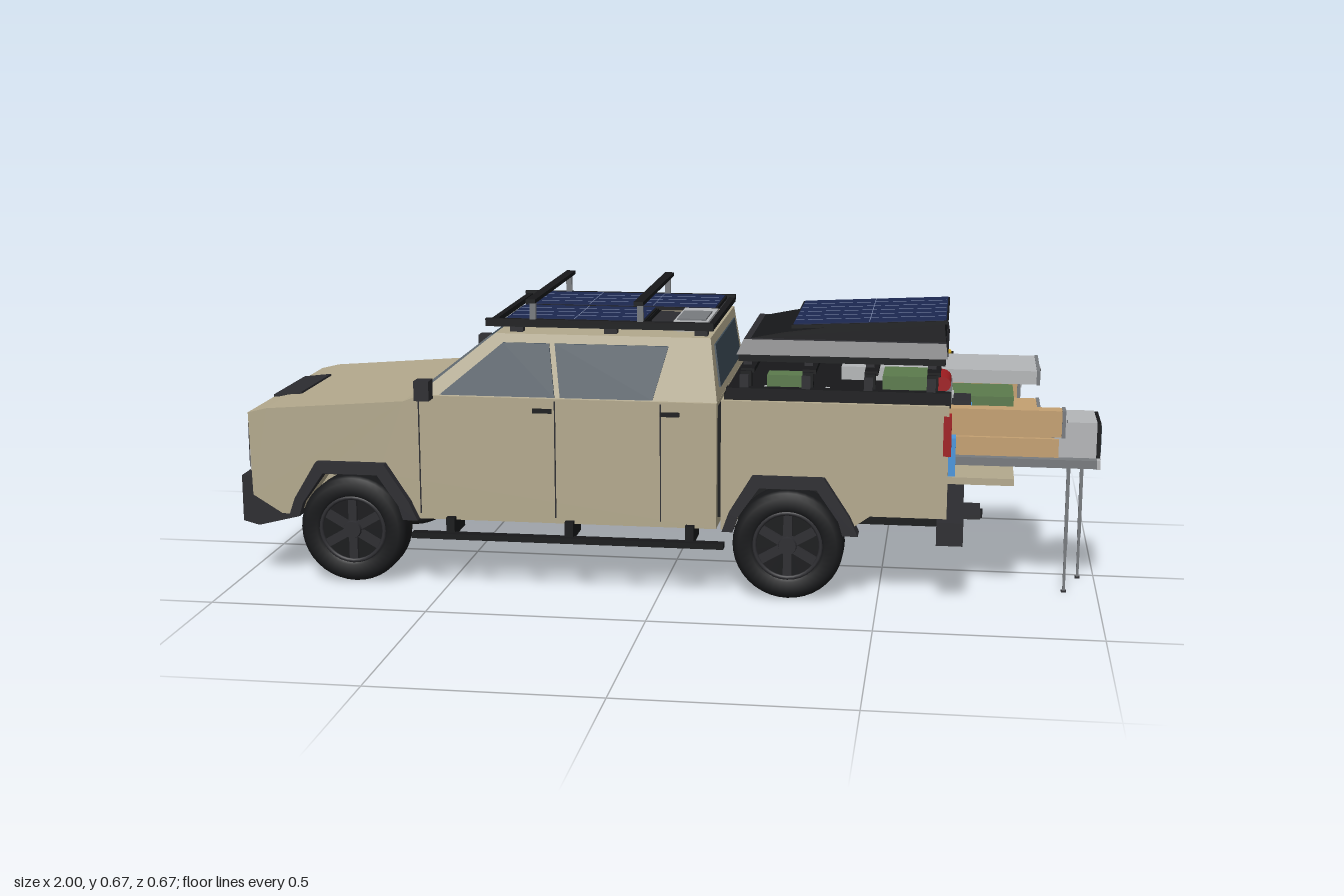
import * as THREE from 'three';

const C = { paint: 0xb3a98d, dark: 0x2c2c30, black: 0x17181a, glass: 0x3b4954, grey: 0x777a7e, light: 0xb4b6b8,
  wood: 0xc4a071, navy: 0x1c2850, red: 0xa01c20, blue: 0x4a96dc, yellow: 0xd0a520, green: 0x5b7a4c, lines: 0x7f8cb0 };
const mats = {};
const mat = (c) => mats[c] ??= new THREE.MeshStandardMaterial({ color: C[c] });

export function createModel() {
  const model = new THREE.Group();
  const add = (name, geo, color, parent = model) => {
    const m = new THREE.Mesh(geo, mat(color));
    m.name = name;
    parent.add(m);
    return m;
  };
  // Box from its min and max on each axis
  const box = (name, color, x0, x1, y0, y1, z0, z1) => add(name,
    new THREE.BoxGeometry(x1 - x0, y1 - y0, z1 - z0).translate((x0 + x1) / 2, (y0 + y1) / 2, (z0 + z1) / 2), color);
  // The same box on both sides
  const pair = (name, color, x0, x1, y0, y1, z0, z1) => {
    box(name + 'Left', color, x0, x1, y0, y1, z0, z1);
    box(name + 'Right', color, x0, x1, y0, y1, -z1, -z0);
  };
  // Tapered block: bottom [x0, x1, halfZ, y], top [x0, x1, halfZ, y]
  const taper = (name, color, b, t) => {
    const g = new THREE.BoxGeometry(1, 1, 1), p = g.attributes.position;
    for (let i = 0; i < p.count; i++) {
      const e = p.getY(i) > 0 ? t : b;
      p.setXYZ(i, p.getX(i) > 0 ? e[1] : e[0], e[3], Math.sign(p.getZ(i)) * e[2]);
    }
    g.computeVertexNormals();
    return add(name, g, color);
  };
  // Side profile extruded from z0 to z1
  const shapeOf = (pts) => new THREE.Shape(pts.map(([x, y]) => new THREE.Vector2(x, y)));
  const slab = (pts, z0, z1) => new THREE.ExtrudeGeometry(shapeOf(pts), { depth: z1 - z0, bevelEnabled: false }).translate(0, 0, z0);
  // Cylinder between two points
  const rod = (name, color, a, b, r, seg = 10) => {
    const A = new THREE.Vector3(...a), B = new THREE.Vector3(...b), d = B.clone().sub(A);
    const m = add(name, new THREE.CylinderGeometry(r, r, d.length(), seg), color);
    m.position.copy(A).add(B).multiplyScalar(0.5);
    m.quaternion.setFromUnitVectors(new THREE.Vector3(0, 1, 0), d.normalize());
    return m;
  };

  const FX = -0.727, RX = 0.295, WY = 0.127;
  const arch = (x) => [[x - 0.125, 0.157], [x - 0.115, 0.19], [x - 0.065, 0.262], [x + 0.065, 0.262], [x + 0.115, 0.19], [x + 0.125, 0.157]];

  // Cab and hood body
  add('lowerBody', slab([[-0.97, 0.2], [-0.9, 0.157], ...arch(FX), [0.13, 0.157], [0.13, 0.45], [-0.56, 0.45],
    [-0.6, 0.435], [-0.93, 0.409], [-0.975, 0.398]], -0.283, 0.283), 'paint');
  box('floor', 'paint', -0.86, 0.13, 0.158, 0.3, -0.2, 0.2);
  taper('greenhouse', 'paint', [-0.57, 0.13, 0.275, 0.448], [-0.39, 0.11, 0.236, 0.592]);
  taper('windshield', 'glass', [-0.574, -0.55, 0.255, 0.453], [-0.404, -0.38, 0.222, 0.586]);
  taper('rearWindow', 'glass', [0.1, 0.131, 0.21, 0.475], [0.09, 0.1165, 0.195, 0.57]);

  // Side windows lie on the leaning cab wall
  const panes = [[[-0.515, 0.452], [-0.37, 0.572], [-0.262, 0.572], [-0.245, 0.452]], [[-0.232, 0.452], [-0.249, 0.572], [0.015, 0.572], [-0.018, 0.452]]];
  for (const s of [-1, 1]) for (const pts of panes) {
    const g = slab(pts, -0.004, 0.004), p = g.attributes.position;
    for (let i = 0; i < p.count; i++) p.setZ(i, p.getZ(i) + s * (0.275 - (p.getY(i) - 0.448) * 0.271));
    g.computeVertexNormals();
    add('sideWindow', g, 'glass');
  }
  for (const x of [-0.565, -0.245, 0.0]) pair('doorSeam', 'dark', x, x + 0.003, 0.17, 0.445, 0.28, 0.2837);
  for (const x of [-0.295, 0.0]) pair('doorHandle', 'black', x, x + 0.045, 0.417, 0.427, 0.283, 0.289);
  pair('mirror', 'dark', -0.56, -0.525, 0.447, 0.493, 0.297, 0.335);
  pair('mirrorArm', 'dark', -0.548, -0.535, 0.452, 0.466, 0.265, 0.3);

  // Nose
  box('grilleFrame', 'light', -0.979, -0.96, 0.255, 0.375, -0.268, 0.268);
  box('grille', 'dark', -0.983, -0.96, 0.262, 0.368, -0.2, 0.2);
  pair('headlight', 'dark', -0.983, -0.96, 0.262, 0.368, 0.206, 0.262);
  for (let i = 0; i < 4; i++) box('grilleSlat', 'black', -0.986, -0.97, 0.275 + i * 0.024, 0.284 + i * 0.024, -0.19, 0.19);
  const vent = box('hoodVent', 'dark', -0.035, 0.035, -0.003, 0.003, -0.117, 0.117);
  vent.position.set(-0.933, 0.409, 0);
  vent.rotation.z = 0.12;
  add('frontBumper', slab([[-0.998, 0.135], [-0.96, 0.125], [-0.86, 0.15], [-0.87, 0.18], [-0.96, 0.19], [-0.967, 0.245], [-0.998, 0.245]], -0.278, 0.278), 'dark');

  // Bed with open rear
  const bedSide = [...[[0.14, 0.157]], ...arch(RX), [0.48, 0.2], [0.652, 0.2], [0.652, 0.458], [0.14, 0.458]];
  for (const s of [-1, 1]) add('bedSide', slab(bedSide, s > 0 ? 0.245 : -0.284, s > 0 ? 0.284 : -0.245), 'paint');
  box('bedFront', 'paint', 0.14, 0.17, 0.2, 0.458, -0.245, 0.245);
  box('bedBase', 'black', 0.14, 0.645, 0.2, 0.284, -0.21, 0.21);
  box('bedFloor', 'dark', 0.14, 0.645, 0.27, 0.286, -0.246, 0.246);
  box('rearSill', 'dark', 0.6, 0.65, 0.19, 0.284, -0.246, 0.246);
  box('tailgate', 'paint', 0.652, 0.8, 0.272, 0.288, -0.243, 0.243);
  box('cabGapFill', 'black', 0.125, 0.145, 0.18, 0.44, -0.26, 0.26);
  box('bedCover', 'black', 0.145, 0.655, 0.452, 0.472, -0.27, 0.27);
  pair('tailLight', 'red', 0.64, 0.658, 0.345, 0.436, 0.246, 0.286);

  // Bumper, hitch and underbody
  box('rearBumper', 'dark', 0.63, 0.69, 0.142, 0.196, -0.3, 0.3);
  box('hitchBar', 'black', 0.6, 0.735, 0.135, 0.152, -0.01, 0.012);
  box('rearStep', 'dark', 0.67, 0.73, 0.143, 0.153, -0.06, 0.06);
  for (const x of [FX, RX]) {
    rod('axle', 'dark', [x, WY, -0.24], [x, WY, 0.24], 0.016, 12);
    rod('differential', 'black', [x, WY, -0.05], [x, WY, 0.015], 0.042, 16);
  }
  rod('driveshaft', 'dark', [FX, WY + 0.01, -0.018], [RX, WY + 0.01, -0.018], 0.01);
  pair('frameRail', 'black', -0.86, 0.63, 0.145, 0.2, 0.12, 0.145);
  pair('sideStep', 'black', -0.58, 0.15, 0.117, 0.13, 0.288, 0.314);
  for (const x of [-0.5, -0.22, 0.06]) pair('stepBracket', 'black', x, x + 0.02, 0.122, 0.165, 0.2, 0.3);

  // Wheel arch flares
  for (const x of [FX, RX]) {
    const outer = [[x - 0.15, 0.157], [x - 0.135, 0.2], [x - 0.082, 0.288], [x + 0.082, 0.288], [x + 0.14, 0.2], [x + 0.16, 0.157]];
    for (const s of [-1, 1]) add('archFlare', slab([...outer, ...arch(x).reverse()], s > 0 ? 0.255 : -0.305, s > 0 ? 0.305 : -0.255), 'dark');
    box('wheelWell', 'black', x - 0.12, x + 0.12, 0.255, 0.27, -0.28, 0.28);
  }

  // Wheels
  const tyre = [[0.078, -0.036], [0.085, -0.043], [0.112, -0.043], [0.123, -0.036], [0.127, -0.025], [0.127, 0.025],
    [0.123, 0.036], [0.112, 0.043], [0.085, 0.043], [0.078, 0.036]].map(([r, y]) => new THREE.Vector2(r, y));
  for (const x of [FX, RX]) for (const s of [-1, 1]) {
    const w = new THREE.Group();
    w.name = 'wheel';
    add('tyre', new THREE.LatheGeometry(tyre, 40).rotateX(Math.PI / 2), 'black', w);
    add('rim', new THREE.CylinderGeometry(0.08, 0.08, 0.05, 32).rotateX(Math.PI / 2), 'black', w);
    add('rimLip', new THREE.TorusGeometry(0.076, 0.005, 8, 32).translate(0, 0, 0.036), 'dark', w);
    add('hub', new THREE.CylinderGeometry(0.02, 0.024, 0.02, 16).rotateX(Math.PI / 2).translate(0, 0, 0.034), 'dark', w);
    for (let i = 0; i < 6; i++)
      add('spoke', new THREE.BoxGeometry(0.02, 0.06, 0.012).translate(0, 0.045, 0.03).rotateZ(i * Math.PI / 3), 'dark', w);
    w.position.set(x, WY, s * 0.257);
    w.rotation.y = s > 0 ? 0 : Math.PI;
    model.add(w);
  }

  // Solar panel with cell lines, built flat about its own centre
  const solar = (name, w, d, x, y, z, nx, nz, tilt = 0) => {
    const g = new THREE.Group();
    g.name = name;
    add('panelFrame', new THREE.BoxGeometry(w, 0.008, d), 'black', g);
    add('cells', new THREE.BoxGeometry(w - 0.008, 0.003, d - 0.008).translate(0, 0.0045, 0), 'navy', g);
    for (let i = 1; i < nx; i++) add('cellLine', new THREE.BoxGeometry(0.0015, 0.001, d - 0.012).translate(w * (i / nx - 0.5), 0.0062, 0), 'lines', g);
    for (let i = 1; i < nz; i++) add('cellLine', new THREE.BoxGeometry(w - 0.012, 0.001, 0.0015).translate(0, 0.0062, d * (i / nz - 0.5)), 'lines', g);
    g.position.set(x, y, z);
    g.rotation.z = tilt;
    model.add(g);
  };

  // Roof rack
  pair('rackRail', 'black', -0.415, 0.115, 0.606, 0.624, 0.213, 0.226);
  for (const x of [-0.41, -0.235, -0.06, 0.1]) box('rackSlat', 'black', x, x + 0.014, 0.606, 0.618, -0.22, 0.22);
  for (const x of [-0.36, -0.14, 0.07]) pair('rackFoot', 'dark', x, x + 0.03, 0.585, 0.61, 0.19, 0.212);
  solar('roofPanelRight', 0.465, 0.205, -0.138, 0.618, -0.113, 3, 4);
  solar('roofPanelLeft', 0.325, 0.205, -0.21, 0.618, 0.107, 2, 4);
  box('roofDeck', 'dark', -0.04, 0.11, 0.605, 0.614, 0.0, 0.21);
  box('roofFan', 'light', 0.02, 0.1, 0.6, 0.624, 0.005, 0.2);
  box('fanLid', 'grey', 0.027, 0.093, 0.62, 0.628, 0.07, 0.19);
  for (const x of [-0.305, -0.055]) {
    box('crossbar', 'black', x - 0.01, x + 0.012, 0.664, 0.673, -0.245, 0.245);
    pair('crossbarPost', 'grey', x - 0.006, x + 0.008, 0.618, 0.666, 0.213, 0.225);
  }

  // Bed rack
  pair('bedRail', 'black', 0.15, 0.655, 0.462, 0.486, 0.245, 0.272);
  for (const x of [0.18, 0.32, 0.46, 0.6]) {
    box('bedCrossbar', 'black', x, x + 0.03, 0.515, 0.525, -0.235, 0.235);
    pair('bedPost', 'black', x, x + 0.025, 0.475, 0.52, 0.228, 0.245);
    pair('rackBolt', 'dark', x, x + 0.02, 0.48, 0.515, 0.256, 0.266);
    pair('tentBracket', 'dark', x, x + 0.02, 0.52, 0.545, 0.17, 0.19);
    pair('tieDown', 'light', x + 0.05, x + 0.06, 0.47, 0.478, 0.19, 0.24);
  }

  // Hard-shell tent with a sloping lid
  box('tentBase', 'black', 0.17, 0.64, 0.534, 0.556, -0.198, 0.198);
  taper('tentLid', 'dark', [0.165, 0.645, 0.202, 0.55], [0.18, 0.64, 0.185, 0.583]);
  add('tentTop', slab([[0.18, 0.58], [0.64, 0.58], [0.635, 0.625], [0.46, 0.624], [0.27, 0.598]], -0.168, 0.168), 'black');
  solar('tentPanel', 0.355, 0.36, 0.466, 0.622, 0, 2, 6, 0.05);

  // Cargo on the bed rack
  const fuel = rod('redCanister', 'red', [0.63, 0.495, 0.115], [0.63, 0.495, 0.213], 0.018, 20);
  fuel.scale.set(1.3, 1, 1);
  for (const z of [0.135, 0.19]) box('canisterStrap', 'grey', 0.604, 0.656, 0.476, 0.496, z, z + 0.01);
  const pod = new THREE.CylinderGeometry(0.05, 0.052, 0.023, 20);
  add('yellowCase', pod.scale(0.75, 1, 1).translate(0.613, 0.489, -0.192), 'yellow');
  box('greenCan', 'green', 0.24, 0.335, 0.472, 0.512, 0.185, 0.24);
  box('greenBag', 'green', 0.5, 0.6, 0.472, 0.512, 0.1, 0.22);

  // Slide-out drawer: tray with a grey front and handle at its rear end
  const drawer = (name, color, face, x1, y0, y1, z0, z1, rows = 1) => {
    box(name + 'Body', color, 0.4, x1 - 0.008, y0 + 0.003, y1 - 0.003, z0 + 0.003, z1 - 0.003);
    const h = (y1 - y0) / rows, zc = (z0 + z1) / 2, hw = Math.min(0.018, (z1 - z0) * 0.3);
    for (let i = 0; i < rows; i++) {
      box(name + 'Front', face, x1 - 0.008, x1, y0 + i * h + 0.002, y0 + (i + 1) * h - 0.002, z0, z1);
      const yc = y0 + (i + 0.55) * h;
      box(name + 'Handle', 'light', x1, x1 + 0.003, yc - 0.006, yc + 0.006, zc - hw, zc + hw);
      box(name + 'Grip', 'black', x1 + 0.002, x1 + 0.004, yc - 0.002, yc + 0.003, zc - hw * 0.75, zc + hw * 0.75);
    }
  };
  drawer('roofCase', 'light', 'grey', 0.855, 0.476, 0.513, -0.104, 0.106);
  drawer('pantry', 'wood', 'grey', 0.865, 0.325, 0.394, -0.18, -0.005, 2);
  drawer('leftTall', 'wood', 'grey', 0.91, 0.382, 0.448, 0.19, 0.236);
  drawer('rightTall', 'wood', 'grey', 0.82, 0.382, 0.448, -0.24, -0.188);
  drawer('rightLow', 'wood', 'grey', 0.7, 0.292, 0.376, -0.24, -0.188);
  drawer('rightTray', 'grey', 'light', 0.85, 0.293, 0.32, -0.18, -0.005);
  drawer('kitchenTray', 'grey', 'light', 0.995, 0.295, 0.32, 0.006, 0.165);
  box('kitchenSide', 'wood', 0.655, 0.9, 0.322, 0.365, 0.15, 0.162);
  box('kitchenSideInner', 'wood', 0.655, 0.9, 0.322, 0.365, 0.01, 0.022);
  box('cabinetBack', 'grey', 0.4, 0.652, 0.29, 0.45, 0.0, 0.182);
  box('cabinetTop', 'light', 0.45, 0.656, 0.445, 0.455, -0.182, 0.182);
  box('blueTank', 'blue', 0.5, 0.668, 0.29, 0.378, 0.186, 0.244);
  box('greenCrate', 'green', 0.62, 0.8, 0.396, 0.425, -0.172, -0.012);
  box('powerUnit', 'dark', 0.645, 0.7, 0.408, 0.437, 0.015, 0.11);
  box('powerDisplay', 'blue', 0.7, 0.702, 0.415, 0.426, 0.06, 0.092);

  // Microwave at the end of the kitchen tray
  box('microwave', 'light', 0.89, 0.985, 0.322, 0.404, 0.014, 0.156);
  box('microwaveFace', 'black', 0.985, 0.994, 0.322, 0.402, 0.014, 0.156);
  box('microwaveWindow', 'glass', 0.994, 0.996, 0.333, 0.394, 0.063, 0.143);
  for (let i = 0; i < 12; i++) {
    const y = 0.333 + Math.floor(i / 3) * 0.011, z = 0.022 + (i % 3) * 0.009;
    box('microwaveKey', 'grey', 0.994, 0.996, y, y + 0.007, z, z + 0.006);
  }
  box('microwaveDisplay', 'red', 0.994, 0.996, 0.383, 0.389, 0.022, 0.044);

  // Folding support legs
  for (const [x, z] of [[0.925, 0.145], [0.962, 0.024]]) {
    box('supportLeg', 'grey', x - 0.004, x + 0.004, 0.1, 0.297, z - 0.004, z + 0.004);
    box('supportLegLower', 'grey', x - 0.003, x + 0.003, 0, 0.11, z - 0.003, z + 0.003);
    box('supportFoot', 'dark', x - 0.006, x + 0.006, 0, 0.004, z - 0.006, z + 0.006);
  }
  return model;
}
